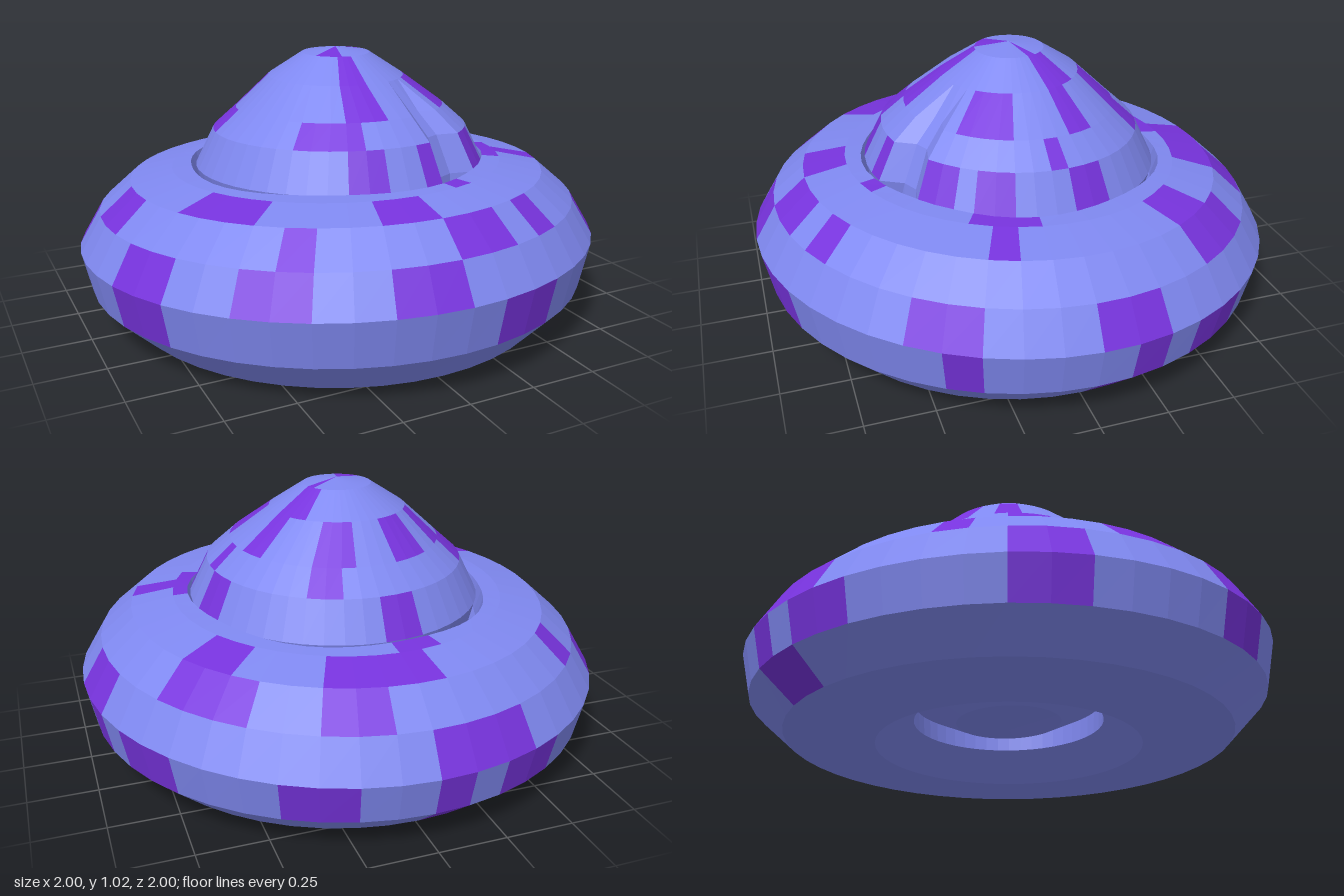
import * as THREE from 'three';

const BASE = 0x7f88f0, PATCH = 0x7733dd;

// Faceted body of revolution: profile [r, y] swept round, bent by warp().
// patches: [band, fromDegrees, toDegrees], measured from the front towards +x.
function patchedBody(name, profile, segments, patches, warp) {
  const plain = [], coloured = [];
  const step = 360 / segments;
  const point = (i, s) => {
    const a = ((s % segments) * step * Math.PI) / 180;
    const [r, y] = profile[i];
    return warp(r, y, a, i);
  };
  for (let i = 0; i < profile.length - 1; i++) {
    for (let s = 0; s < segments; s++) {
      const mid = (s + 0.5) * step;
      const hit = patches.some(([band, from, to]) =>
        band === i && (mid - from + 720) % 360 < to - from);
      const a = point(i, s), b = point(i, s + 1), c = point(i + 1, s + 1), d = point(i + 1, s);
      const out = hit ? coloured : plain;
      if (profile[i][0] > 0) out.push(...a, ...b, ...c);
      if (profile[i + 1][0] > 0) out.push(...a, ...c, ...d);
      else if (profile[i][0] === 0) continue;
    }
  }
  const group = new THREE.Group();
  group.name = name;
  [[plain, BASE, 'Shell'], [coloured, PATCH, 'Patches']].forEach(([pos, color, suffix]) => {
    const g = new THREE.BufferGeometry();
    g.setAttribute('position', new THREE.Float32BufferAttribute(pos, 3));
    g.computeVertexNormals();
    const m = new THREE.MeshStandardMaterial({ color, flatShading: true, side: THREE.DoubleSide });
    const mesh = new THREE.Mesh(g, m);
    mesh.name = name + suffix;
    group.add(mesh);
  });
  return group;
}

export function createModel() {
  const model = new THREE.Group();
  model.name = 'saucer';

  // Ring: flat underside, rounded rim, sloping top and the wall of the centre hole
  const ringProfile = [
    [0.5, 0], [0.7, 0], [0.835, 0.02], [0.965, 0.145], [1, 0.305], [0.92, 0.44],
    [0.8, 0.545], [0.64, 0.58], [0.575, 0.585], [0.55, 0.5], [0.46, 0.38],
    [0.37, 0.25], [0.36, 0.1], [0.5, 0],
  ];
  const ringPatches = [
    // underside slope and lower rim
    [2, 90, 105], [2, 180, 195],
    [3, 7.5, 22.5], [3, 60, 67.5], [3, 97.5, 105], [3, 112.5, 127.5], [3, 150, 165],
    [3, 180, 187.5], [3, 195, 210], [3, 240, 255], [3, 285, 300],
    // upper rim
    [4, -15, 0], [4, -45, -30], [4, -75, -60], [4, -120, -105], [4, 52.5, 67.5],
    [4, 90, 105], [4, 180, 202.5],
    // shoulder
    [5, 0, 15], [5, 22.5, 30], [5, -37.5, -30], [5, -97.5, -82.5], [5, 120, 142.5],
    [5, 157.5, 172.5], [5, 225, 232.5],
    // top and inner lip
    [6, -15, 0], [6, -67.5, -45], [6, 67.5, 75], [6, 120, 135], [6, 157.5, 187.5],
    [7, 60, 82.5], [7, 15, 22.5], [7, 180, 195],
  ];
  model.add(patchedBody('ring', ringProfile, 48, ringPatches, (r, y, a, i) => {
    // slightly uneven lip, and a small rise of the top towards the front
    const rr = i === 8 || i === 9 ? r + 0.01 * Math.sin(5 * a + 1) : r;
    const x = rr * Math.sin(a), z = rr * Math.cos(a);
    const lift = Math.min(1, y / 0.25) * (0.034 * z + 0.008 * x);
    return [x, y + lift, z];
  }));

  // Dome: closed rounded body sitting in the hole
  const domeProfile = [
    [0, 0.07], [0.2, 0.1], [0.36, 0.18], [0.51, 0.37], [0.56, 0.58],
    [0.49, 0.72], [0.4, 0.8], [0.26, 0.915], [0.13, 1.0], [0, 1.02],
  ];
  const domePatches = [
    [4, 7.5, 15], [4, -22.5, -7.5], [4, 37.5, 52.5], [4, 60, 75], [4, 97.5, 112.5],
    [4, 180, 195],
    [5, -37.5, -15], [5, 90, 97.5], [5, 150, 165], [5, 240, 260], [5, 315, 330],
    [6, -22.5, 0], [6, 45, 75], [6, 105, 120], [6, 150, 172.5], [6, 195, 217.5],
    [6, 232.5, 247.5],
    [7, -22.5, 0], [7, 105, 135],
    [8, -60, -15], [8, 105, 120],
  ];
  model.add(patchedBody('dome', domeProfile, 48, domePatches, (r, y, a, i) => {
    // sunken strip at the front left of the dome
    const deg = (a * 180) / Math.PI;
    const dented = deg > 17 && deg < 36 && i >= 4 && i <= 6;
    const rr = dented ? r * 0.88 : r;
    const x = rr * Math.sin(a), z = rr * Math.cos(a);
    const shift = r > 0.3 ? 0.012 : 0;
    return [x + shift, y + (i < 7 ? 0.03 * z : 0), z + shift / 2];
  }));

  return model;
}
